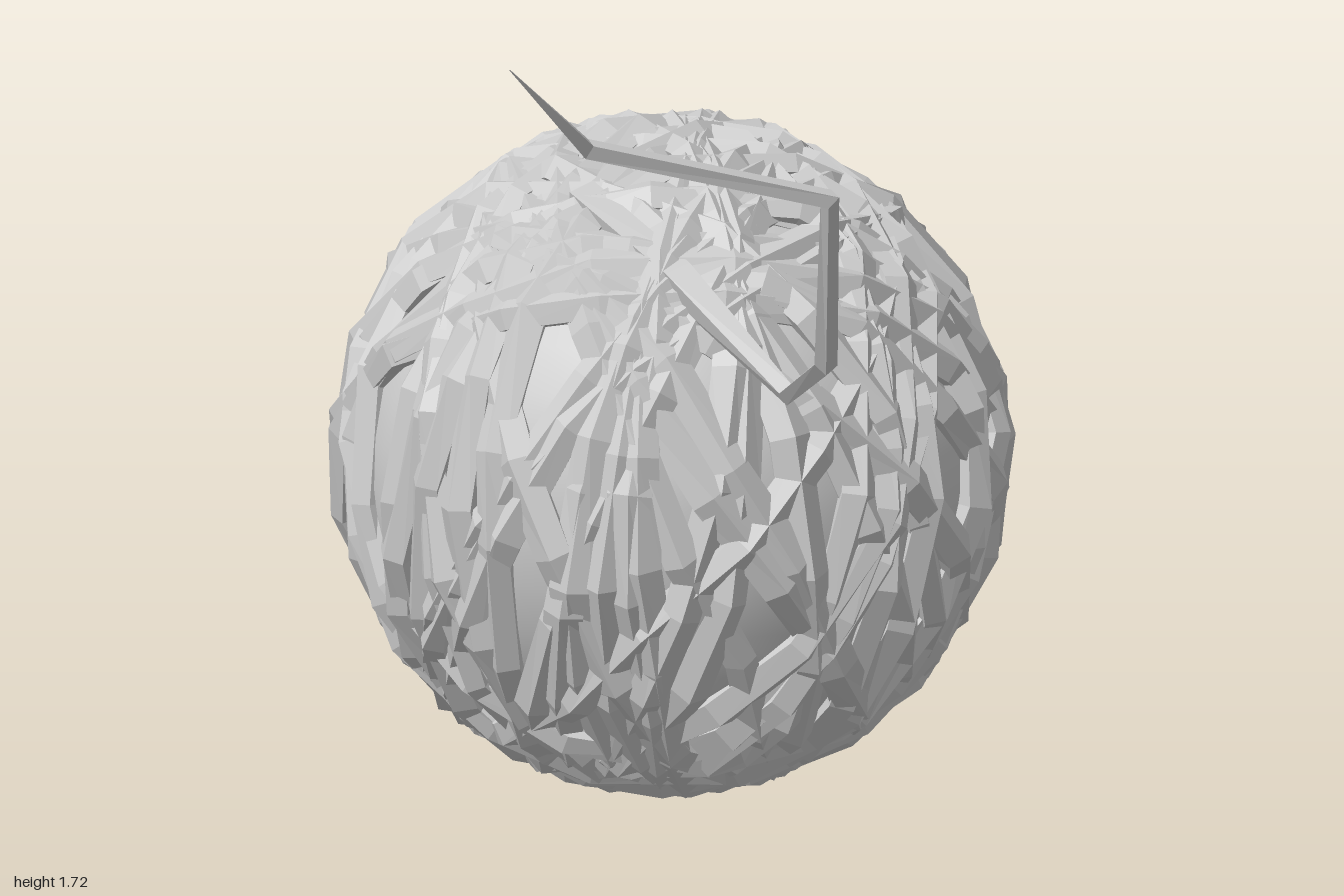
import * as THREE from 'three';

const V = (x, y, z) => new THREE.Vector3(x, y, z);
const CENTRE = V(-0.16, 0.568, -0.434);

// Repeatable pseudo-random numbers in 0..1
function seeded(seed) {
  return () => {
    seed = (seed * 16807) % 2147483647;
    return seed / 2147483647;
  };
}

// Faceted yarn swept along corner points; reference(p) gives the flat side's direction
function yarnGeometry(points, radii, sides, closed, reference) {
  const n = points.length, pos = [], index = [];
  points.forEach((p, i) => {
    const before = closed ? points[(i + n - 1) % n] : points[Math.max(i - 1, 0)];
    const after = closed ? points[(i + 1) % n] : points[Math.min(i + 1, n - 1)];
    const t = after.clone().sub(before).normalize();
    const normal = reference(p).clone();
    normal.addScaledVector(t, -normal.dot(t)).normalize();
    const side = t.clone().cross(normal);
    for (let j = 0; j < sides; j++) {
      const a = (j / sides) * Math.PI * 2;
      const q = p.clone()
        .addScaledVector(normal, Math.cos(a) * radii[i])
        .addScaledVector(side, Math.sin(a) * radii[i]);
      pos.push(q.x, q.y, q.z);
    }
  });
  for (let i = 0; i < (closed ? n : n - 1); i++) {
    for (let j = 0; j < sides; j++) {
      const a = i * sides + j, b = i * sides + (j + 1) % sides;
      const c = ((i + 1) % n) * sides + j, d = ((i + 1) % n) * sides + (j + 1) % sides;
      index.push(a, b, c, b, d, c);
    }
  }
  const g = new THREE.BufferGeometry();
  g.setAttribute('position', new THREE.Float32BufferAttribute(pos, 3));
  g.setIndex(index);
  const flat = g.toNonIndexed();
  flat.computeVertexNormals();
  return flat;
}

export function createModel() {
  const model = new THREE.Group();
  model.name = 'yarnBall';
  const smooth = new THREE.MeshStandardMaterial({ color: 0xcccccc });
  const faceted = new THREE.MeshStandardMaterial({ color: 0xcccccc, flatShading: true });
  const rand = seeded(4217);

  // Smooth core seen between the windings
  const core = new THREE.Mesh(new THREE.SphereGeometry(0.522, 32, 20), smooth);
  core.name = 'core';
  core.position.copy(CENTRE);
  model.add(core);

  // Windings: uneven polygonal loops, mostly running over top and bottom
  const windings = new THREE.Group();
  windings.name = 'windings';
  windings.position.copy(CENTRE);
  const count = 46, corners = 16;
  for (let k = 0; k < count; k++) {
    const heading = k * 2.39996;
    const axis = V(Math.cos(heading), (rand() - 0.5) * 1.5, Math.sin(heading)).normalize();
    const u = V(0, 1, 0).cross(axis).normalize(), v = axis.clone().cross(u);
    const phase = rand() * Math.PI * 2, offset = (rand() - 0.5) * 0.12;
    const points = [], radii = [];
    for (let i = 0; i < corners; i++) {
      const a = phase + ((i + (rand() - 0.5) * 0.35) / corners) * Math.PI * 2;
      const p = u.clone().multiplyScalar(Math.cos(a))
        .addScaledVector(v, Math.sin(a))
        .addScaledVector(axis, offset + 0.07 * Math.sin(2 * a + phase) + (rand() - 0.5) * 0.04);
      points.push(p.setLength(0.518 + rand() * 0.02));
      radii.push(0.028 + rand() * 0.012);
    }
    const geo = yarnGeometry(points, radii, 5, true, (p) => p);
    // Keep the outermost corners on the ball's outline
    const loop = new THREE.Mesh(geo, faceted);
    const pos = geo.attributes.position, q = V(0, 0, 0);
    for (let i = 0; i < pos.count; i++) {
      q.fromBufferAttribute(pos, i).clampLength(0, 0.566);
      pos.setXYZ(i, q.x, q.y, q.z);
    }
    geo.computeVertexNormals();
    loop.name = 'winding';
    windings.add(loop);
  }
  model.add(windings);

  // Loose end leaving the ball, kinked and tapering to a point
  const tailPoints = [
    V(-0.2, 1.06, -0.22), V(0.03, 0.98, -0.15), V(0.335, 0.875, 0), V(0.55, 1.03, 0.235),
    V(0.705, 1.41, 0.475), V(0.435, 1.54, 0.795), V(0.413, 1.73, 1),
  ];
  const tailRadii = [0.035, 0.033, 0.018, 0.019, 0.018, 0.018, 0.001];
  const tail = new THREE.Mesh(
    yarnGeometry(tailPoints, tailRadii, 4, false, () => V(0.3, -0.8, 0.5)), faceted);
  tail.name = 'looseEnd';
  model.add(tail);

  return model;
}
